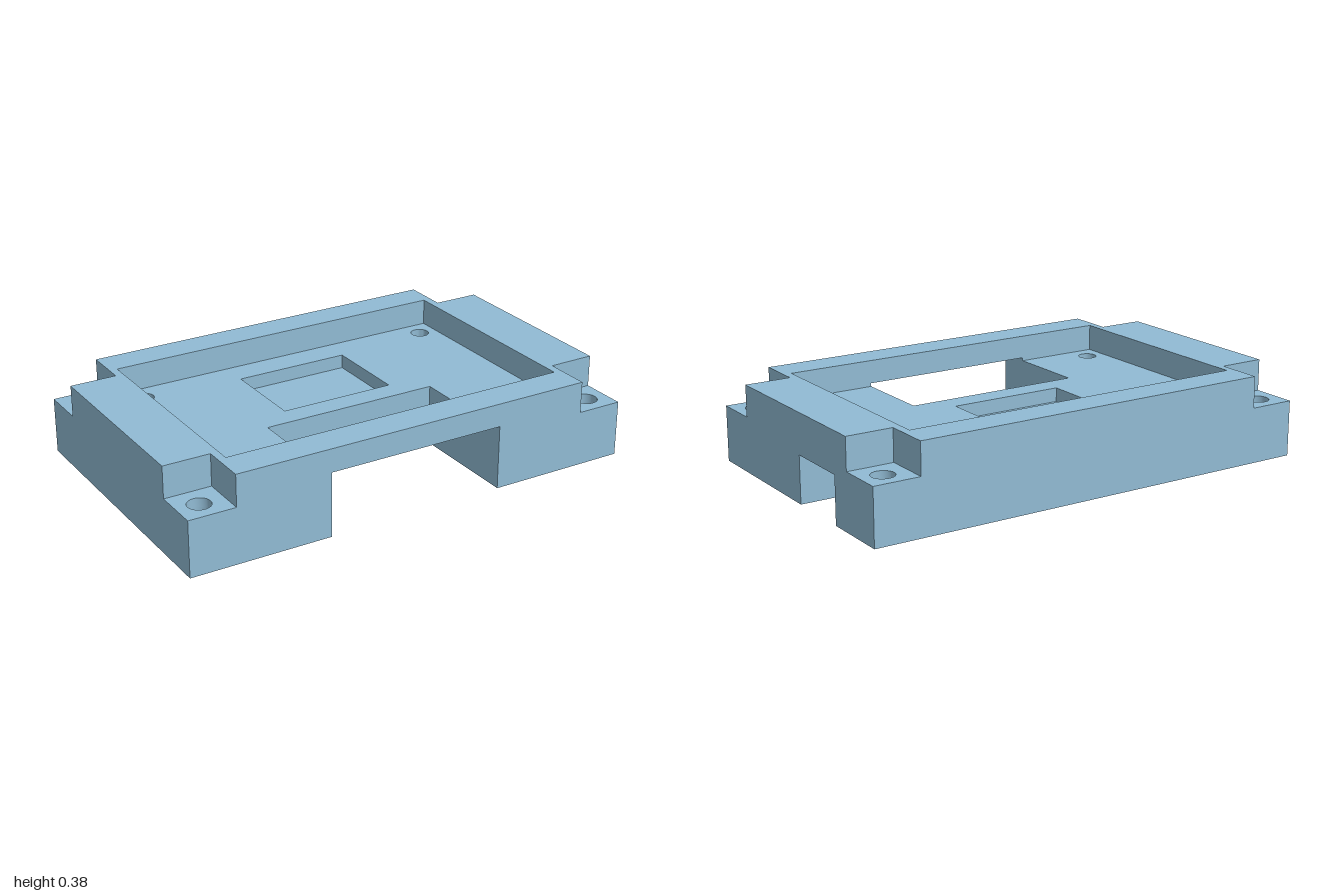
import * as THREE from 'three';
import { toCreasedNormals } from 'three/addons/utils/BufferGeometryUtils.js';

const W = 1, D = 0.622, TOP = 0.376;
const SLOT = { l: -0.392, r: 0.39, back: 0.124 };
const TRAY = { l: -0.766, r: 0.765, back: -0.483, front: 0.48 };

// Points are [x, z] pairs; the shape plane is (x, -z)
const toVec = ([x, z]) => new THREE.Vector2(x, -z);
const rect = (x0, z0, x1, z1) => [[x0, z0], [x1, z0], [x1, z1], [x0, z1]];
const circle = (x, z, r) =>
  new THREE.Path().absarc(x, -z, r, 0, Math.PI * 2, true);
const polyHole = (pts) => new THREE.Path(pts.map(toVec));

// Four round holes, mirrored about a centre
const fourHoles = (cx, cz, dx, dz, r) =>
  [[1, 1], [1, -1], [-1, 1], [-1, -1]].map(([a, b]) => circle(cx + a * dx, cz + b * dz, r));

export function createModel() {
  const model = new THREE.Group();
  const blue = new THREE.MeshStandardMaterial({ color: 0x91bbd4 });
  blue.name = 'steel blue';

  // One horizontal slab of the body between two heights;
  // outlines are listed clockwise, so they are reversed to face outward
  const slab = (name, y0, y1, outline, holes = []) => {
    const shape = new THREE.Shape(outline.map(toVec).reverse());
    shape.holes.push(...holes);
    const geo = new THREE.ExtrudeGeometry(shape, {
      depth: y1 - y0, bevelEnabled: false, curveSegments: 20,
    });
    geo.rotateX(-Math.PI / 2);
    geo.translate(0, y0, 0);
    const mesh = new THREE.Mesh(toCreasedNormals(geo, 0.5), blue);
    mesh.name = name;
    model.add(mesh);
  };

  // Front cable slot, walked from its right edge to its left edge
  const slot = [
    [SLOT.r, D], [SLOT.r, SLOT.back], [SLOT.l, SLOT.back], [SLOT.l, D],
  ];
  // Outline with the four corners stepped in
  const n = 0.8, m = 0.423;
  const stepped = (front) => [
    [-n, -D], [n, -D], [n, -m], [W, -m], [W, m], [n, m], [n, D],
    ...front, [-n, D], [-n, m], [-W, m], [-W, -m], [-n, -m],
  ];
  const mountHoles = () => fourHoles(0, 0, 0.905, 0.526, 0.048);
  const trayHoles = () => fourHoles(0, -0.004, 0.687, 0.393, 0.04);
  const chipRecess = () => polyHole(rect(-0.255, -0.357, 0.25, 0.022));

  // Legs: underside cavity reached by a channel in the right wall
  const cav = { l: -0.884, r: 0.425, back: -0.442, front: 0.088 };
  slab('lowerWalls', 0, 0.202, [
    [-W, -D], [W, -D], [W, -0.328], [cav.r, -0.328], [cav.r, cav.back],
    [cav.l, cav.back], [cav.l, cav.front], [cav.r, cav.front],
    [cav.r, -0.041], [W, -0.041], [W, D], ...slot, [-W, D],
  ], mountHoles());

  // Raised pad in the cavity, with a screw hole in each corner tab
  slab('undersidePad', 0.102, 0.202, [
    [-0.87, -0.39], [0.4, -0.39], [0.4, -0.26], [0.3, -0.26], [0.3, -0.1], [0.4, -0.1],
    [0.4, 0.032], [-0.87, 0.032], [-0.87, -0.1], [-0.77, -0.1], [-0.77, -0.26], [-0.87, -0.26],
  ], fourHoles(-0.235, -0.18, 0.592, 0.133, 0.03));

  // Floor plate, up to the corner ledges
  slab('floorPlate', 0.202, 0.24,
    [[-W, -D], [W, -D], [W, D], ...slot, [-W, D]],
    [...mountHoles(), ...trayHoles(), chipRecess()]);

  // Tray floor above the corner ledges
  slab('trayFloor', 0.24, 0.262, stepped(slot), [...trayHoles(), chipRecess()]);

  // Rim, open at the front where the slot passes below it
  slab('rimBase', 0.262, 0.276, stepped([
    [SLOT.r, D], [SLOT.r, TRAY.front], [TRAY.r, TRAY.front], [TRAY.r, TRAY.back],
    [TRAY.l, TRAY.back], [TRAY.l, TRAY.front], [SLOT.l, TRAY.front], [SLOT.l, D],
  ]));
  slab('rim', 0.276, TOP, stepped([]),
    [polyHole(rect(TRAY.l, TRAY.back, TRAY.r, TRAY.front))]);

  return model;
}
